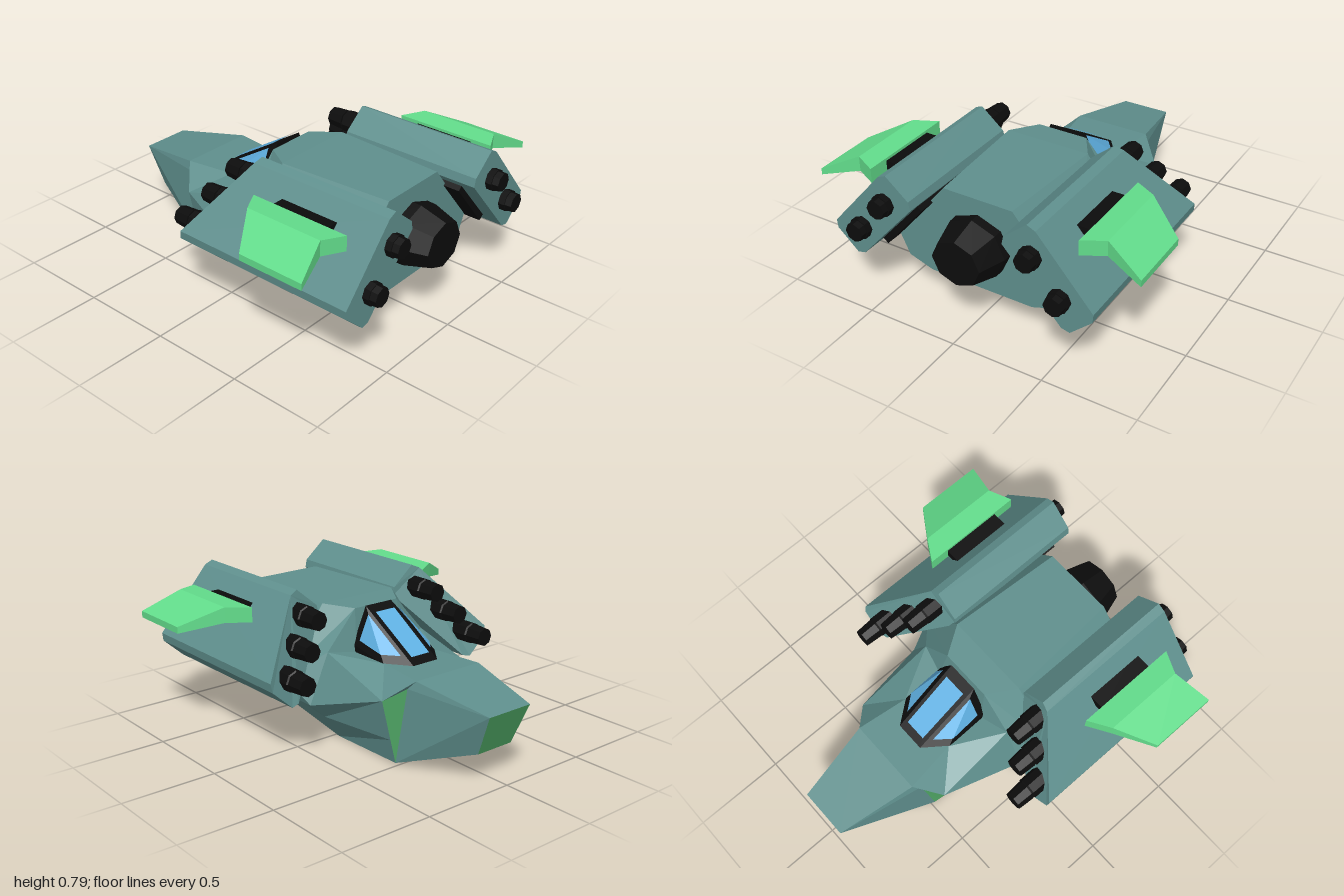
import * as THREE from 'three';

const mat = (name, color, side = THREE.FrontSide) => {
  const m = new THREE.MeshStandardMaterial({ color, flatShading: true, side });
  m.name = name;
  return m;
};

// Flat-faced mesh from polygons; every triangle is turned away from the centre
function faceted(name, material, polys, centre) {
  const c = new THREE.Vector3(...centre), pos = [];
  for (const poly of polys) {
    const v = poly.map(p => new THREE.Vector3(...p));
    for (let i = 1; i < v.length - 1; i++) {
      const t = [v[0], v[i], v[i + 1]];
      const n = t[1].clone().sub(t[0]).cross(t[2].clone().sub(t[0]));
      const mid = t[0].clone().add(t[1]).add(t[2]).divideScalar(3).sub(c);
      if (n.dot(mid) < 0) t.reverse();
      t.forEach(p => pos.push(p.x, p.y, p.z));
    }
  }
  const g = new THREE.BufferGeometry();
  g.setAttribute('position', new THREE.Float32BufferAttribute(pos, 3));
  g.computeVertexNormals();
  const m = new THREE.Mesh(g, material);
  m.name = name;
  return m;
}

const flip = p => [p[0], p[1], -p[2]];
const both = polys => polys.flatMap(p => [p, p.map(flip)]);      // left and right copies
const across = pts => [...pts, ...pts.map(flip).reverse()];      // one face over the centre line
const inset = (poly, c, k, off) =>
  poly.map(p => p.map((v, i) => c[i] + (v - c[i]) * k + off[i]));

export function createModel() {
  const root = new THREE.Group();
  root.name = 'spacecraft';
  const hullMat = mat('hull teal', 0x5f8f8d);
  const wingMat = mat('wing green', 0x62dc8b);
  const trimMat = mat('trim green', 0x50a866);
  const darkMat = mat('black metal', 0x0c0c0c);
  const glassMat = mat('window blue', 0x5fb0e2, THREE.DoubleSide);

  // Hull corner points on one side
  const a = [-1, 0.38, 0.135], b = [-0.91, 0.16, 0.11];
  const r = [-0.58, 0.455, 0.21], p1 = [-0.54, 0.41, 0.23], p2 = [-0.47, 0.35, 0.33];
  const p3 = [-0.48, 0.005, 0.25], p4 = [-0.475, 0.135, 0.28];
  const k = [-0.3, 0.46, 0.172], k0 = [-0.07, 0.46, 0.165];
  const t = [-0.03, 0.68, 0.14], s = [-0.03, 0.48, 0.32], w = [-0.03, 0.22, 0.435];
  const l = [-0.03, 0.135, 0.345], q = [-0.03, 0, 0.25];
  const T = [0.12, 0.69, 0.235], W = [0.12, 0.34, 0.485];
  const T2 = [0.75, 0.69, 0.195], W2 = [0.75, 0.34, 0.485];
  const V2 = [0.75, 0.22, 0.43], L2 = [0.75, 0.175, 0.295];
  const hc = [0.2, 0.35, 0];
  root.add(faceted('hull', hullMat, [
    ...both([
      [a, r, p1], [a, p1, p3, b], [r, p1, p2, k], [p2, s, k], [k, s, k0], [k0, s, t],
      [p2, s, w], [p2, w, l, p4], [p4, l, q, p3], [t, s, W, T], [s, w, W],
      [T, W, W2, T2], [W, w, V2, W2], [w, l, L2, V2], [l, q, L2],
    ]),
    across([a, r]), across([r, k]), across([k, k0]), across([k0, t]), across([t, T]),
    across([T, T2]), across([p3, q]), across([q, L2]), across([T2, W2, V2, L2]),
  ], hc));
  root.add(faceted('noseTrim', trimMat, [across([a, b]), ...both([[p1, p2, p4, p3]])], hc));
  root.add(faceted('noseUnderside', darkMat, [across([b, p3])], hc));

  // Canopy frame with window panes just proud of it
  const F = [-0.42, 0.455, 0.08], G = [-0.3, 0.455, 0.175], H = [-0.05, 0.5, 0.17];
  const J = [-0.05, 0.688, 0.085], Hb = [-0.05, 0.455, 0.17];
  const cc = [-0.15, 0.42, 0];
  const pane = [G, H, J, F], front = across([F, J]);
  root.add(faceted('canopyFrame', darkMat,
    [front, ...both([pane, [G, H, Hb]]), across([J, H, Hb])], cc));
  const crease = G.map((v, i) => (v + J[i]) / 2);
  root.add(faceted('canopyGlass', glassMat, [
    inset(front, [-0.24, 0.568, 0], 0.74, [-0.004, 0.006, 0]),
    ...both([inset(pane, crease, 0.68, [-0.003, 0.004, 0.005])]),
  ], cc));

  // Eight-sided part lying along x, with [x, radius] steps
  const turned = (name, steps, y, z) => {
    const pts = [[steps[0][0], 0], ...steps, [steps[steps.length - 1][0], 0]]
      .map(([x, rad]) => new THREE.Vector2(rad, x));
    const g = new THREE.LatheGeometry(pts, 8).toNonIndexed();
    g.rotateZ(-Math.PI / 2);
    g.computeVertexNormals();
    const m = new THREE.Mesh(g, darkMat);
    m.name = name;
    m.position.set(0, y, z);
    return m;
  };
  const engine = turned('mainEngine', [[0.68, 0.185], [0.8, 0.18], [0.945, 0.135]], 0.44, 0);
  engine.scale.y = 0.9;
  root.add(engine);

  const box = (name, size, pos, rx = 0) => {
    const m = new THREE.Mesh(new THREE.BoxGeometry(...size), darkMat);
    m.name = name;
    m.position.set(...pos);
    m.rotation.x = rx;
    return m;
  };

  // Tilted weapon pods with wings, one each side
  const podProfile = [[0.435, 0.77], [0.39, 0.79], [0.265, 0.685], [0.255, 0.64],
    [0.565, 0.29], [0.61, 0.28], [0.725, 0.385], [0.73, 0.43]];
  for (const sd of [1, -1]) {
    const g = new THREE.Group();
    g.name = sd > 0 ? 'podFrontSide' : 'podBackSide';

    // The pod nose is raked along the tilt
    const nose = podProfile.map(([z, y]) => {
      const u = (0.76 * y - 0.65 * z + 0.165) / 0.49;
      return [-0.12 + 0.25 * THREE.MathUtils.clamp(u, 0, 1), y, z * sd];
    });
    const tail = podProfile.map(([z, y]) => [0.93, y, z * sd]);
    const n = nose.length;
    g.add(faceted('podBody', hullMat, [nose, tail,
      ...nose.map((p, i) => [p, nose[(i + 1) % n], tail[(i + 1) % n], tail[i]])],
    [0.4, 0.535, 0.495 * sd]));

    // Mount between hull and pod
    g.add(box('podMount', [0.72, 0.35, 0.04], [0.48, 0.465, 0.392 * sd], -0.705 * sd));

    // Three stepped cannons and two thrusters
    [[-0.24, 0.42, 0.6], [-0.145, 0.545, 0.5], [-0.07, 0.67, 0.4]].forEach(([x, y, z]) =>
      g.add(turned('cannon', [[x, 0.05], [x + 0.09, 0.056], [x + 0.09, 0.048],
        [x + 0.1, 0.06], [x + 0.24, 0.06]], y, z * sd)));
    [[0.63, 0.41], [0.45, 0.56]].forEach(([y, z]) =>
      g.add(turned('thruster', [[0.9, 0.058], [0.965, 0.058], [0.965, 0.052], [1, 0.05]], y, z * sd)));

    // Bent wing: [z, leading x, trailing x, low y, high y]
    g.add(box('wingMount', [0.33, 0.05, 0.12], [0.525, 0.665, 0.535 * sd]));
    const ring = [[0.583, 0.25, 0.81, 0.625, 0.705], [0.7, 0.32, 0.755, 0.63, 0.712],
      [0.9, 0.455, 0.82, 0.58, 0.615]].map(([z, x0, x1, y0, y1]) =>
      [[x0, y0, z * sd], [x1, y0, z * sd], [x1, y1, z * sd], [x0, y1, z * sd]]);
    for (let j = 0; j < 2; j++) {
      const A = ring[j], B = ring[j + 1];
      const mid = [0, 1, 2].map(i => [...A, ...B].reduce((sum, p) => sum + p[i], 0) / 8);
      g.add(faceted(j ? 'wingTip' : 'wingRoot', wingMat, [j ? B : A,
        ...A.map((p, i) => [p, A[(i + 1) % 4], B[(i + 1) % 4], B[i]])], mid));
    }
    root.add(g);
  }
  return root;
}
